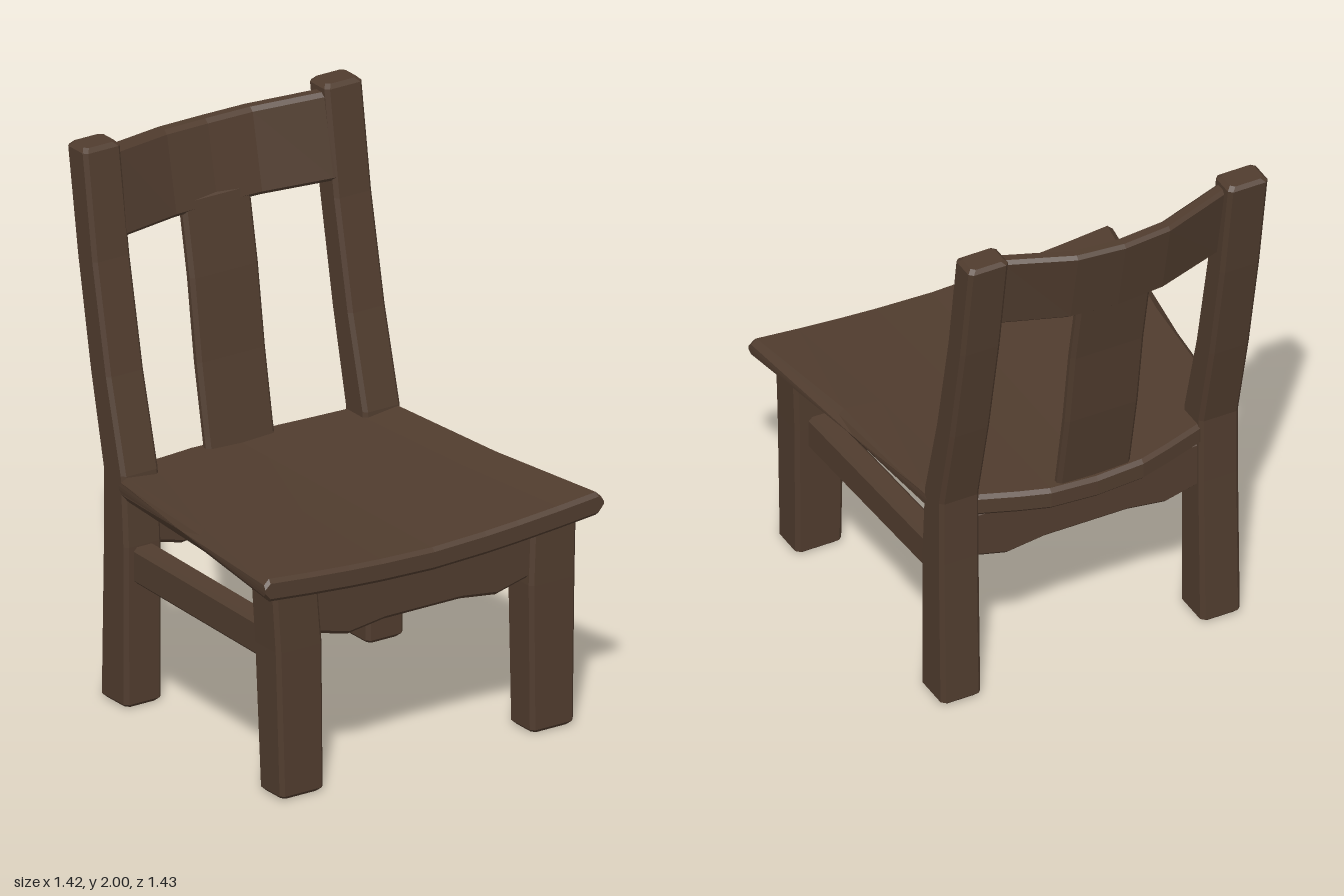
import * as THREE from 'three';

const BEVEL = 0.014;
const V = (x, y, z) => new THREE.Vector3(x, y, z);

// Replace each corner of a ring by two points so long edges are chamfered
function chamferRing(ring) {
  const n = ring.length, out = [];
  ring.forEach((p, i) => {
    for (const q of [ring[(i + n - 1) % n], ring[(i + 1) % n]]) {
      out.push(p.clone().addScaledVector(q.clone().sub(p).normalize(), BEVEL));
    }
  });
  return out;
}

// Shrink a four-cornered ring inwards by the bevel width
function insetRing(ring) {
  return ring.map((p, i) => {
    const a = ring[(i + 3) % 4].clone().sub(p).normalize();
    const b = ring[(i + 1) % 4].clone().sub(p).normalize();
    return p.clone().addScaledVector(a.add(b), BEVEL);
  });
}

// Skin a row of rings, capped at both ends, with flat faces turned outwards
function skin(rings) {
  const pos = [], n = rings[0].length;
  const tri = (a, b, c) => pos.push(...a.toArray(), ...b.toArray(), ...c.toArray());
  for (let k = 0; k < rings.length - 1; k++) {
    for (let i = 0; i < n; i++) {
      const j = (i + 1) % n, a = rings[k], b = rings[k + 1];
      tri(a[i], a[j], b[j]);
      tri(a[i], b[j], b[i]);
    }
  }
  const cap = (ring, flip) => {
    const c = ring.reduce((s, p) => s.add(p), V(0, 0, 0)).divideScalar(n);
    for (let i = 0; i < n; i++) {
      const p = ring[i], q = ring[(i + 1) % n];
      flip ? tri(c, q, p) : tri(c, p, q);
    }
  };
  cap(rings[0], true);
  cap(rings[rings.length - 1], false);

  // A negative volume means the faces point inwards, so reverse them
  let volume = 0;
  for (let i = 0; i < pos.length; i += 9) {
    const [a, b, c] = [0, 3, 6].map(o => V(pos[i + o], pos[i + o + 1], pos[i + o + 2]));
    volume += a.dot(b.cross(c));
  }
  if (volume < 0) {
    for (let i = 0; i < pos.length; i += 9) {
      for (let o = 0; o < 3; o++) {
        [pos[i + 3 + o], pos[i + 6 + o]] = [pos[i + 6 + o], pos[i + 3 + o]];
      }
    }
  }
  const g = new THREE.BufferGeometry();
  g.setAttribute('position', new THREE.Float32BufferAttribute(pos, 3));
  g.computeVertexNormals();
  return g;
}

// Timber bar through four-cornered rings, with bevelled edges and ends
function bar(rings) {
  const end = (a, b) => {
    const t = BEVEL / a[0].distanceTo(b[0]);
    return a.map((p, i) => p.clone().lerp(b[i], t));
  };
  const m = rings.length;
  const all = [insetRing(rings[0]), end(rings[0], rings[1]), ...rings.slice(1, -1),
    end(rings[m - 1], rings[m - 2]), insetRing(rings[m - 1])];
  return skin(all.map(chamferRing));
}

// Horizontal and side-on rectangles used as cross-sections
const flatRing = (y, x0, x1, z0, z1) =>
  [V(x0, y, z0), V(x1, y, z0), V(x1, y, z1), V(x0, y, z1)];
const sideRing = (x, y0, y1, z0, z1) =>
  [V(x, y0, z0), V(x, y1, z0), V(x, y1, z1), V(x, y0, z1)];

// Rows given from the left end to the centre, repeated to the right end
const mirrorRows = rows =>
  [...rows, ...rows.slice(0, -1).reverse().map(([x, ...r]) => [-x, ...r])];

export function createModel() {
  const chair = new THREE.Group();
  chair.name = 'chair';
  const wood = new THREE.MeshStandardMaterial({ color: 0x503c2e });
  wood.name = 'darkWood';
  const add = (name, geometry) => {
    const mesh = new THREE.Mesh(geometry, wood);
    mesh.name = name;
    chair.add(mesh);
  };

  // Seat: dished across its width, flaring to the front, bowed at the back
  const seatRows = mirrorRows([
    // u, back z, edge inset
    [-1, -0.40, 0.022], [-0.97, -0.41, 0], [-0.74, -0.45, 0],
    [-0.5, -0.485, 0], [-0.31, -0.51, 0], [0, -0.515, 0],
  ]);
  add('seat', skin(seatRows.map(([u, back, inset]) => {
    const top = 0.812 + 0.046 * Math.pow(Math.abs(u), 1.6) - inset;
    const bottom = 0.727 + 0.046 * Math.pow(Math.abs(u), 1.6) + inset;
    const b = BEVEL;
    return [
      V(u * 0.71, top - b, 0.712), V(u * 0.707, top, 0.712 - b),
      V(u * 0.63, top, 0.2), V(u * 0.59, top, -0.3),
      V(u * 0.58, top, back + b), V(u * 0.58, top - b, back),
      V(u * 0.58, bottom + b, back), V(u * 0.58, bottom, back + b),
      V(u * 0.59, bottom, -0.3), V(u * 0.63, bottom, 0.2),
      V(u * 0.707, bottom, 0.712 - b), V(u * 0.71, bottom + b, 0.712),
    ];
  })));

  for (const [side, s] of [['left', 1], ['right', -1]]) {
    // Front leg, slightly wider at the top
    add(side + 'FrontLeg', bar([
      flatRing(0, s * 0.435, s * 0.615, 0.535, 0.675),
      flatRing(0.55, s * 0.435, s * 0.627, 0.517, 0.668),
      flatRing(0.79, s * 0.45, s * 0.638, 0.51, 0.66),
    ]));
    // Back post: upright leg that leans back above the seat
    add(side + 'BackPost', bar([
      [0, -0.31, -0.47], [0.6, -0.312, -0.457], [0.86, -0.328, -0.457],
      [1.2, -0.418, -0.535], [1.6, -0.5, -0.612], [2, -0.56, -0.675],
    ].map(([y, f, b]) => flatRing(y, s * 0.43, s * 0.585, b, f))));
    // Side stretcher between front leg and back post
    add(side + 'Stretcher', bar([
      [0.54, 0.49, 0.58], [-0.34, 0.46, 0.55],
    ].map(([z, x0, x1]) => [V(s * x0, 0.46, z), V(s * x1, 0.46, z),
      V(s * x1, 0.595, z), V(s * x0, 0.595, z)])));
  }

  // Aprons below the seat with a shaped lower edge
  const apronRows = mirrorRows([
    [-0.5, 0.575], [-0.43, 0.57], [-0.31, 0.54], [-0.16, 0.56], [0, 0.56],
  ]);
  for (const [name, z0, z1] of [['frontApron', 0.555, 0.645], ['backApron', -0.435, -0.355]]) {
    add(name, bar(apronRows.map(([x, y]) => sideRing(x, y, 0.76, z0, z1))));
  }

  // Top rail: bowed backwards and leaning with the posts
  const railRows = mirrorRows([
    // x, bottom y, top y, front z at the bottom, front z at the top
    [-0.47, 1.66, 1.972, -0.505, -0.565], [-0.43, 1.66, 1.97, -0.515, -0.575],
    [-0.18, 1.645, 1.95, -0.585, -0.648], [0, 1.642, 1.945, -0.597, -0.66],
  ]);
  add('topRail', bar(railRows.map(([x, y0, y1, z0, z1]) =>
    [V(x, y0, z0 - 0.06), V(x, y1, z1 - 0.06), V(x, y1, z1), V(x, y0, z0)])));

  // Central back splat, gently curved along its height
  add('backSplat', bar([
    [0.77, -0.44, -0.483], [0.86, -0.458, -0.5], [1.12, -0.505, -0.55],
    [1.42, -0.548, -0.592], [1.7, -0.602, -0.646],
  ].map(([y, f, b]) => flatRing(y, -0.143, 0.143, b, f))));

  return chair;
}
